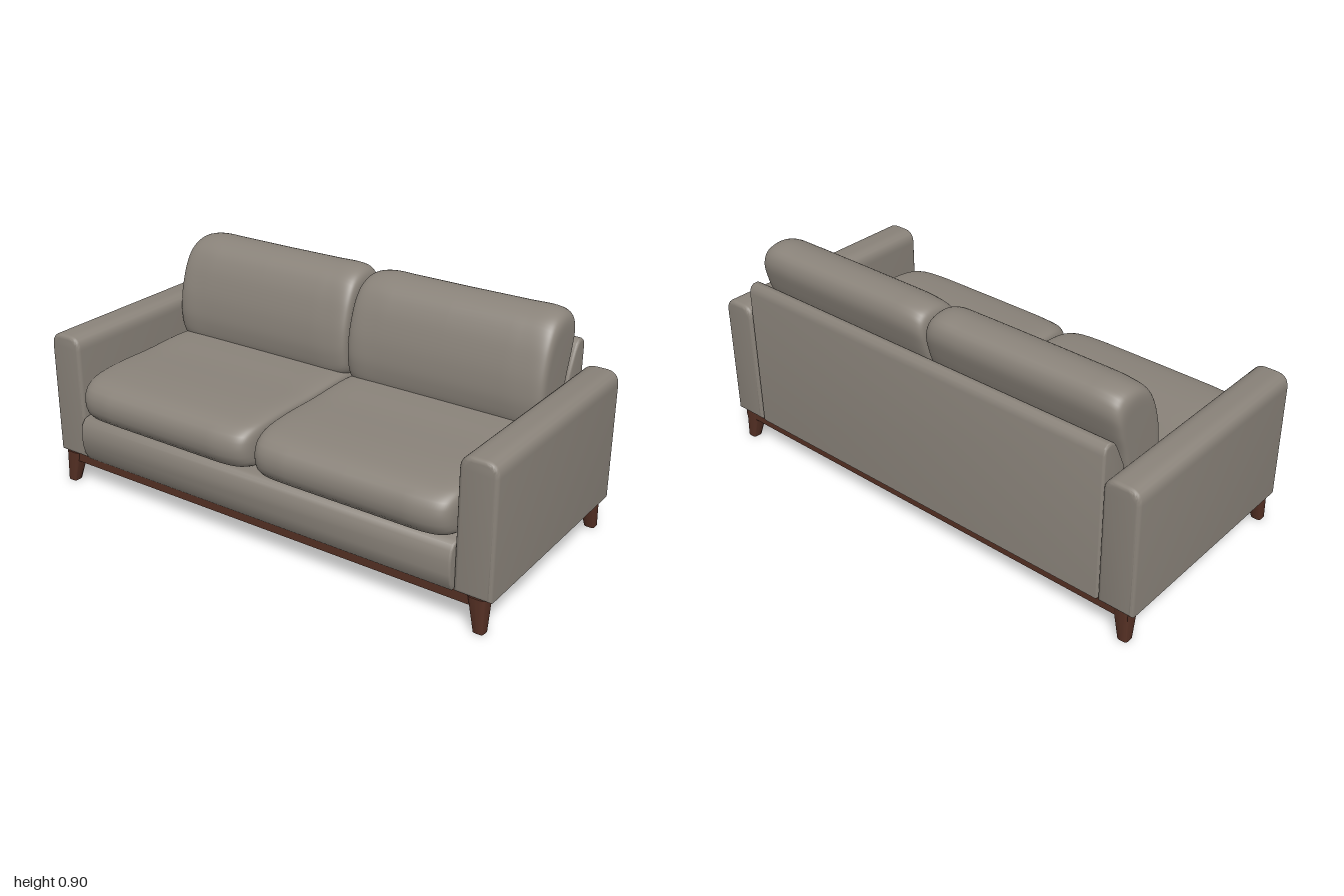
import * as THREE from 'three';
import { toCreasedNormals } from 'three/addons/utils/BufferGeometryUtils.js';

const fabric = new THREE.MeshStandardMaterial({ color: 0x8a837a });
fabric.name = 'grey fabric';
const wood = new THREE.MeshStandardMaterial({ color: 0x553024 });
wood.name = 'dark wood';

function add(parent, name, geometry, material) {
  const mesh = new THREE.Mesh(geometry, material);
  mesh.name = name;
  parent.add(mesh);
  return mesh;
}

// Extrusion centred on its depth, with small rounded edges kept inside the outline
function padded(shape, depth, bevel) {
  const geo = new THREE.ExtrudeGeometry(shape, {
    depth: depth - 2 * bevel, bevelThickness: bevel, bevelSize: bevel,
    bevelOffset: -bevel, bevelSegments: 4, curveSegments: 10,
  });
  geo.translate(0, 0, bevel - depth / 2);
  return toCreasedNormals(geo, 0.7);
}

// Upright panel outline with two rounded top corners
function archShape(x0, x1, y0, y1, r) {
  const s = new THREE.Shape();
  s.moveTo(x0, y0);
  s.lineTo(x1, y0);
  s.lineTo(x1, y1 - r);
  s.quadraticCurveTo(x1, y1, x1 - r, y1);
  s.lineTo(x0 + r, y1);
  s.quadraticCurveTo(x0, y1, x0, y1 - r);
  s.closePath();
  return s;
}

// Side outline given as [z, y], extruded along x
function sidePanel(points, width, bevel) {
  const shape = new THREE.Shape(points.map(([z, y]) => new THREE.Vector2(-z, y)));
  return padded(shape, width, bevel).rotateY(Math.PI / 2);
}

// Soft cushion: a closed [z, y] section swept along x, shrinking at the rounded ends.
// Section order is top, front, bottom, back.
function cushion(points, halfWidth, centre, n, wobble) {
  const curve = new THREE.CatmullRomCurve3(
    points.map(([z, y]) => new THREE.Vector3(0, y, z)), true, 'centripetal');
  const section = curve.getSpacedPoints(64).slice(0, 64);
  const rings = 48, count = section.length, [cz, cy] = centre;
  const pos = [], index = [];
  for (let i = 0; i <= rings; i++) {
    const a = Math.PI * i / rings;
    const u = -Math.sign(Math.cos(a)) * Math.abs(Math.cos(a)) ** (2 / n);
    const s = Math.max(0, Math.sin(a)) ** (2 / n);
    for (const p of section) {
      const dy = p.y - cy, dz = p.z - cz;
      const lump = 1 + wobble * Math.sin(7 * u + 9 * p.y) * Math.cos(5 * u - 6 * p.z);
      pos.push(u * halfWidth, cy + dy * s * lump, cz + dz * s * lump);
    }
  }
  for (let i = 0; i < rings; i++) {
    for (let j = 0; j < count; j++) {
      const k = (j + 1) % count;
      const a = i * count + j, b = i * count + k;
      index.push(a, b, a + count, b, b + count, a + count);
    }
  }
  const geo = new THREE.BufferGeometry();
  geo.setAttribute('position', new THREE.Float32BufferAttribute(pos, 3));
  geo.setIndex(index);
  geo.computeVertexNormals();
  return geo;
}

// Tapered leg with a softened square section; (sx, sz) is the side kept upright
function legGeometry(top, bottom, height, sx, sz) {
  const geo = new THREE.CylinderGeometry(1, 1, height, 24, 1);
  const p = geo.attributes.position;
  const soft = v => Math.sign(v) * Math.abs(v) ** 0.5;
  for (let i = 0; i < p.count; i++) {
    const half = (p.getY(i) > 0 ? top : bottom) / 2;
    const shift = top / 2 - half;
    p.setX(i, soft(p.getX(i)) * half + sx * shift);
    p.setZ(i, soft(p.getZ(i)) * half + sz * shift);
  }
  geo.translate(0, height / 2, 0);
  return toCreasedNormals(geo, 0.7);
}

export function createModel() {
  const sofa = new THREE.Group();
  sofa.name = 'sofa';

  // Wooden plinth
  const plinth = add(sofa, 'plinth', new THREE.BoxGeometry(1.94, 0.04, 0.905), wood);
  plinth.position.set(0, 0.115, -0.017);

  // Corner legs and the two centre legs
  for (const sx of [-1, 1]) {
    for (const sz of [-1, 1]) {
      const leg = add(sofa, sz > 0 ? 'frontLeg' : 'backLeg',
        legGeometry(0.072, 0.042, 0.132, sx, sz), wood);
      leg.position.set(sx * 0.937, 0, sz > 0 ? 0.409 : -0.437);
    }
  }
  for (const z of [0.23, -0.315]) {
    add(sofa, 'centreLeg', legGeometry(0.052, 0.036, 0.1, 0, 0), wood).position.set(0, 0, z);
  }

  // Arms
  for (const side of [-1, 1]) {
    const arm = add(sofa, side > 0 ? 'leftArm' : 'rightArm',
      padded(archShape(-0.0725, 0.0725, 0.13, 0.646, 0.055), 0.932, 0.016), fabric);
    arm.position.set(side * 0.924, 0, -0.02);
  }

  // Backrest panel, sloping forward below its rounded top
  add(sofa, 'backrest', sidePanel([
    [-0.48, 0.13], [-0.48, 0.715], [-0.473, 0.74], [-0.458, 0.751], [-0.437, 0.751],
    [-0.42, 0.738], [-0.405, 0.715], [-0.365, 0.63], [-0.33, 0.45], [-0.33, 0.13],
  ], 1.7, 0.01), fabric);

  // Seat base with a softly bulging front
  add(sofa, 'seatBase', sidePanel([
    [-0.35, 0.13], [0.44, 0.13], [0.458, 0.16], [0.468, 0.2], [0.468, 0.25],
    [0.46, 0.29], [0.445, 0.308], [0.42, 0.315], [-0.35, 0.315],
  ], 1.7, 0.008), fabric);

  // Seat and back cushions, one pair per side
  const seatSection = [
    [0.1, 0.5], [0.33, 0.497], [0.43, 0.48], [0.475, 0.45], [0.488, 0.41], [0.482, 0.36],
    [0.455, 0.325], [0.38, 0.31], [0, 0.31], [-0.28, 0.315], [-0.34, 0.4], [-0.28, 0.485],
  ];
  const backSection = [
    [-0.335, 0.898], [-0.275, 0.89], [-0.225, 0.86], [-0.188, 0.805], [-0.16, 0.73],
    [-0.142, 0.65], [-0.138, 0.56], [-0.16, 0.48], [-0.23, 0.455], [-0.31, 0.48],
    [-0.345, 0.57], [-0.37, 0.66], [-0.4, 0.75], [-0.415, 0.83], [-0.395, 0.878],
  ];
  for (const side of [-1, 1]) {
    const label = side > 0 ? 'left' : 'right';
    add(sofa, label + 'SeatCushion', cushion(seatSection, 0.421, [0.1, 0.405], 10, 0.006), fabric)
      .position.x = side * 0.424;
    add(sofa, label + 'BackCushion', cushion(backSection, 0.423, [-0.28, 0.68], 11, 0.015), fabric)
      .position.x = side * 0.426;
  }
  return sofa;
}
